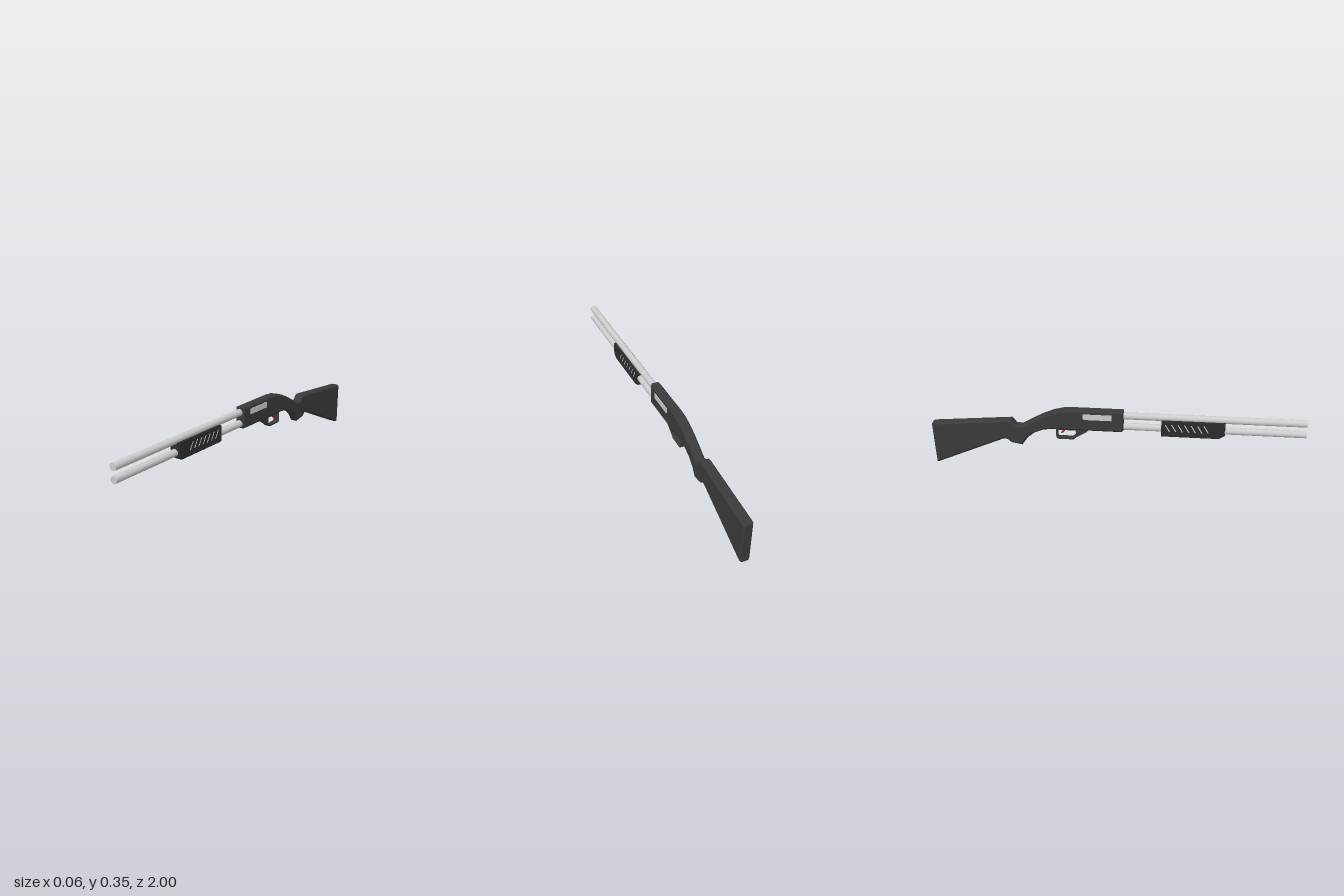
import * as THREE from 'three';

const mat = (color, side = THREE.FrontSide) =>
  new THREE.MeshStandardMaterial({ color, side });
const steel = mat(0xcccccc);
const dark = mat(0x3a3a3a);
const black = mat(0x2c2c2c);
const red = mat(0xcc1111);

const path = (pts, Type = THREE.Shape) => new Type(pts.map(([z, y]) => new THREE.Vector2(z, y)));

// Side profile in (z, y), extruded across x and centred on the given x, with chamfered edges.
function slab(name, profile, halfWidth, material, { chamfer = 0, hole = null, x = 0 } = {}) {
  const shape = path(profile);
  if (hole) shape.holes.push(path(hole, THREE.Path));
  const depth = 2 * (halfWidth - chamfer);
  const geo = new THREE.ExtrudeGeometry(shape, {
    depth,
    bevelEnabled: chamfer > 0,
    bevelThickness: chamfer,
    bevelSize: chamfer,
    bevelOffset: -chamfer,
    bevelSegments: 1,
  });
  geo.translate(0, 0, -depth / 2);
  geo.rotateY(-Math.PI / 2);
  geo.translate(x, 0, 0);
  const mesh = new THREE.Mesh(geo, material);
  mesh.name = name;
  return mesh;
}

// Round tube running along z.
function tube(name, y, z0, z1, radius) {
  const geo = new THREE.CylinderGeometry(radius, radius, z1 - z0, 24);
  geo.rotateX(Math.PI / 2);
  const mesh = new THREE.Mesh(geo, steel);
  mesh.position.set(0, y, (z0 + z1) / 2);
  mesh.name = name;
  return mesh;
}

export function createModel() {
  const group = new THREE.Group();
  group.name = 'pumpShotgun';

  // Receiver, grip and stock share one continuous outline
  group.add(slab('receiverAndStock', [
    [0.045, 0.247], [0.045, 0.355], [-0.23, 0.355], [-0.28, 0.351], [-0.33, 0.338],
    [-0.39, 0.312], [-0.45, 0.279], [-0.5, 0.249], [-0.535, 0.251], [-0.56, 0.281],
    [-0.99, 0.243], [-1, 0.236], [-0.992, 0.002], [-0.98, 0.004],
    [-0.605, 0.166], [-0.585, 0.163], [-0.565, 0.145], [-0.505, 0.134],
    [-0.475, 0.178], [-0.435, 0.211], [-0.39, 0.23], [-0.34, 0.237], [0.035, 0.237],
  ].reverse(), 0.027, dark, { chamfer: 0.009 }));

  // Barrel above, magazine tube below
  group.add(tube('barrel', 0.326, 0, 1, 0.019));
  group.add(tube('magazineTube', 0.264, 0, 1, 0.019));

  // Sliding fore-end with a raised frame and slanted ribs on each side
  const foreEnd = new THREE.Group();
  foreEnd.name = 'foreEnd';
  foreEnd.add(slab('foreEndCore', [
    [0.245, 0.222], [0.55, 0.222], [0.58, 0.242], [0.58, 0.318], [0.245, 0.318],
  ], 0.0245, black, { chamfer: 0.008 }));
  for (const side of [-1, 1]) {
    foreEnd.add(slab('foreEndFrame', [
      [0.245, 0.23], [0.548, 0.23], [0.576, 0.247], [0.576, 0.316], [0.245, 0.316],
    ], 0.003, black, {
      x: side * 0.0255,
      hole: [[0.257, 0.24], [0.257, 0.307], [0.542, 0.307], [0.542, 0.243]],
    }));
    for (let i = 0; i < 7; i++) {
      const z = 0.49 - i * 0.034;
      foreEnd.add(slab('gripRib', [
        [z, 0.256], [z + 0.006, 0.256], [z - 0.018, 0.296], [z - 0.024, 0.296],
      ].reverse(), 0.001, steel, { x: side * 0.0248 }));
    }
  }
  group.add(foreEnd);

  // Ejection port plates on both sides of the receiver
  for (const side of [-1, 1]) {
    group.add(slab('portPlate', [
      [-0.17, 0.305], [-0.018, 0.305], [-0.018, 0.336], [-0.17, 0.336],
    ], 0.003, steel, { x: side * 0.0275 }));
  }

  // Trigger guard with a solid front ramp
  group.add(slab('triggerGuard', [
    [-0.14, 0.24], [-0.318, 0.24], [-0.318, 0.186], [-0.308, 0.178],
    [-0.225, 0.178], [-0.205, 0.194], [-0.155, 0.225],
  ], 0.016, dark, {
    hole: [[-0.212, 0.232], [-0.208, 0.206], [-0.229, 0.185], [-0.304, 0.185],
      [-0.311, 0.192], [-0.311, 0.232]],
  }));

  // Curved trigger
  group.add(slab('trigger', [
    [-0.262, 0.242], [-0.276, 0.242], [-0.281, 0.226], [-0.294, 0.208],
    [-0.288, 0.206], [-0.272, 0.222],
  ], 0.005, red));

  return group;
}
